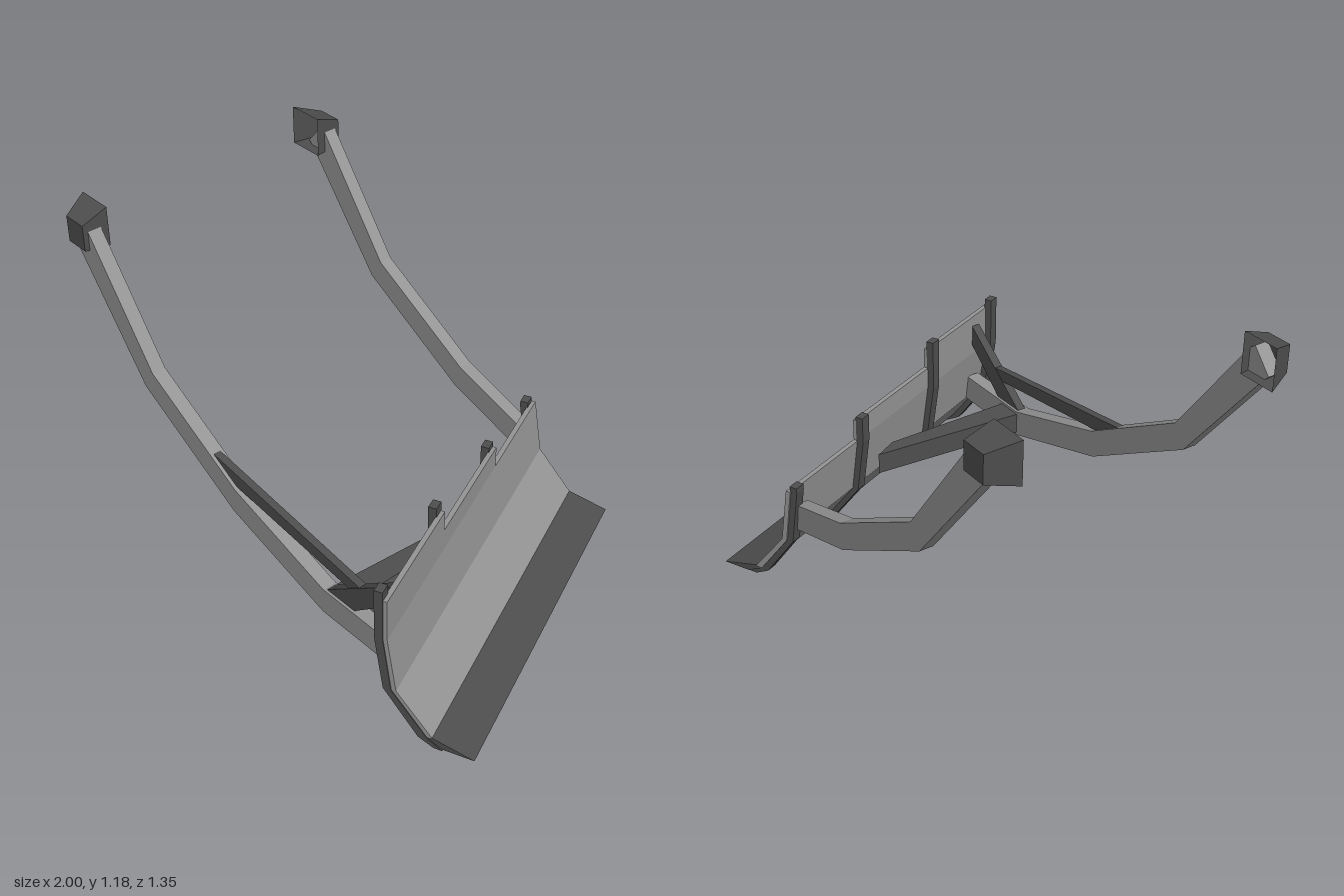
import * as THREE from 'three';

const grey = new THREE.MeshStandardMaterial({ color: 0x959595, flatShading: true });
const dark = new THREE.MeshStandardMaterial({ color: 0x4e4e4e, flatShading: true });
const darkOpen = new THREE.MeshStandardMaterial({ color: 0x4e4e4e, flatShading: true, side: THREE.DoubleSide });

// Extrudes an x-y outline from z0 to z1
function plate(name, material, points, z0, z1) {
  const shape = new THREE.Shape(points.map(([x, y]) => new THREE.Vector2(x, y)));
  const geo = new THREE.ExtrudeGeometry(shape, { depth: z1 - z0, bevelEnabled: false });
  geo.translate(0, 0, z0);
  const mesh = new THREE.Mesh(geo, material);
  mesh.name = name;
  return mesh;
}

// Box whose corners are moved by rule(x, y, z), each sign being -1 or 1
function shapedBox(rule) {
  const geo = new THREE.BoxGeometry(2, 2, 2);
  const p = geo.attributes.position;
  for (let i = 0; i < p.count; i++) {
    p.setXYZ(i, ...rule(Math.sign(p.getX(i)), Math.sign(p.getY(i)), Math.sign(p.getZ(i))));
  }
  geo.computeVertexNormals();
  return geo;
}

// Bent arm outline, ending at the blade
function armOutline(end) {
  return [[-0.95, 1.05], [-0.93, 1.03], [-0.6, 0.61], [-0.13, 0.34], ...end,
    [-0.115, 0.44], [-0.55, 0.69], [-0.86, 1.115], [-0.88, 1.13]];
}

// Tapered socket, open on its inner side
function socket(name, innerZ, side) {
  const geo = shapedBox((x, y, z) => z > 0
    ? [x > 0 ? -0.86 : -0.955, y > 0 ? 1.145 : 1.046, 0.102]
    : [x > 0 ? -0.86 : -1, y > 0 ? 1.18 : 1.03, 0]);
  geo.setIndex(Array.from(geo.index.array).slice(0, 30));
  const mesh = new THREE.Mesh(geo, darkOpen);
  mesh.name = name;
  mesh.position.z = innerZ;
  mesh.scale.z = side;
  return mesh;
}

// Angled blade: local x is the pushing direction, local -z runs along its length
function makeBlade() {
  const blade = new THREE.Group();
  blade.name = 'blade';
  blade.position.set(0.717, 0, 0.655);
  blade.rotation.y = 0.413;

  // Stepped panels: start, end, top height
  const panels = [[0, 0.453, 0.57], [0.453, 0.917, 0.492], [0.917, 1.32, 0.41]];
  for (const [start, end, top] of panels) {
    const upper = top > 0.42 ? [[0.008, top], [-0.01, top]] : [];
    blade.add(plate('bladePanel', grey, [
      [-0.01, 0.41], [0.018, 0.2], [0.14, 0.035], [0.163, 0.04],
      [0.038, 0.2], [0.008, 0.41], ...upper,
    ], -end, -start));
  }

  // Cutting edge along the bottom
  blade.add(plate('cuttingEdge', dark,
    [[0.14, 0.035], [0.2, 0.003], [0.308, 0], [0.163, 0.04]], -1.32, 0));

  // Ribs on the back: start along the blade, top height, foot
  const longFoot = [[0.115, 0.03], [0.17, 0], [0.2, 0], [0.145, 0.037]];
  const shortFoot = [[0.112, 0.04], [0.145, 0.037]];
  const ribs = [[-0.003, 0.605, longFoot], [0.415, 0.605, shortFoot],
    [0.88, 0.51, shortFoot], [1.275, 0.43, longFoot]];
  for (const [start, top, foot] of ribs) {
    blade.add(plate('bladeRib', dark, [
      [-0.035, top], [-0.035, 0.41], [-0.006, 0.2], ...foot,
      [0.022, 0.2], [-0.006, 0.41], [-0.006, top],
    ], -start - 0.04, -start));
  }
  return blade;
}

export function createModel() {
  const model = new THREE.Group();
  model.name = 'bladeAttachment';

  model.add(makeBlade());

  // Lift arms and their sockets
  model.add(plate('leftArm', grey, armOutline([[0.33, 0.2], [0.685, 0.2], [0.675, 0.3], [0.335, 0.3]]), 0.525, 0.578));
  model.add(plate('rightArm', grey, armOutline([[0.2, 0.238], [0.195, 0.342]]), -0.525, -0.474));
  model.add(socket('leftSocket', 0.495, 1));
  model.add(socket('rightSocket', -0.44, -1));

  // Braces above the left arm
  model.add(plate('longBrace', dark, [[-0.26, 0.516], [-0.17, 0.45], [0.45, 0.377], [0.51, 0.414]], 0.537, 0.565));
  model.add(plate('diagonalBrace', dark, [[0.335, 0.295], [0.47, 0.295], [0.655, 0.45], [0.655, 0.53]], 0.535, 0.568));

  // Cross brace from the left arm to the middle of the blade
  const cross = new THREE.Mesh(shapedBox((x, y, z) => {
    const height = y > 0 ? 0.29 : 0.21;
    if (z > 0) return [x < 0 ? 0.335 : y > 0 ? 0.435 : 0.47, height, 0.53];
    return x < 0 ? [0.382, height, -0.07] : [y > 0 ? 0.43 : 0.465, height, y > 0 ? 0.02 : 0.07];
  }), dark);
  cross.name = 'crossBrace';
  model.add(cross);

  return model;
}
